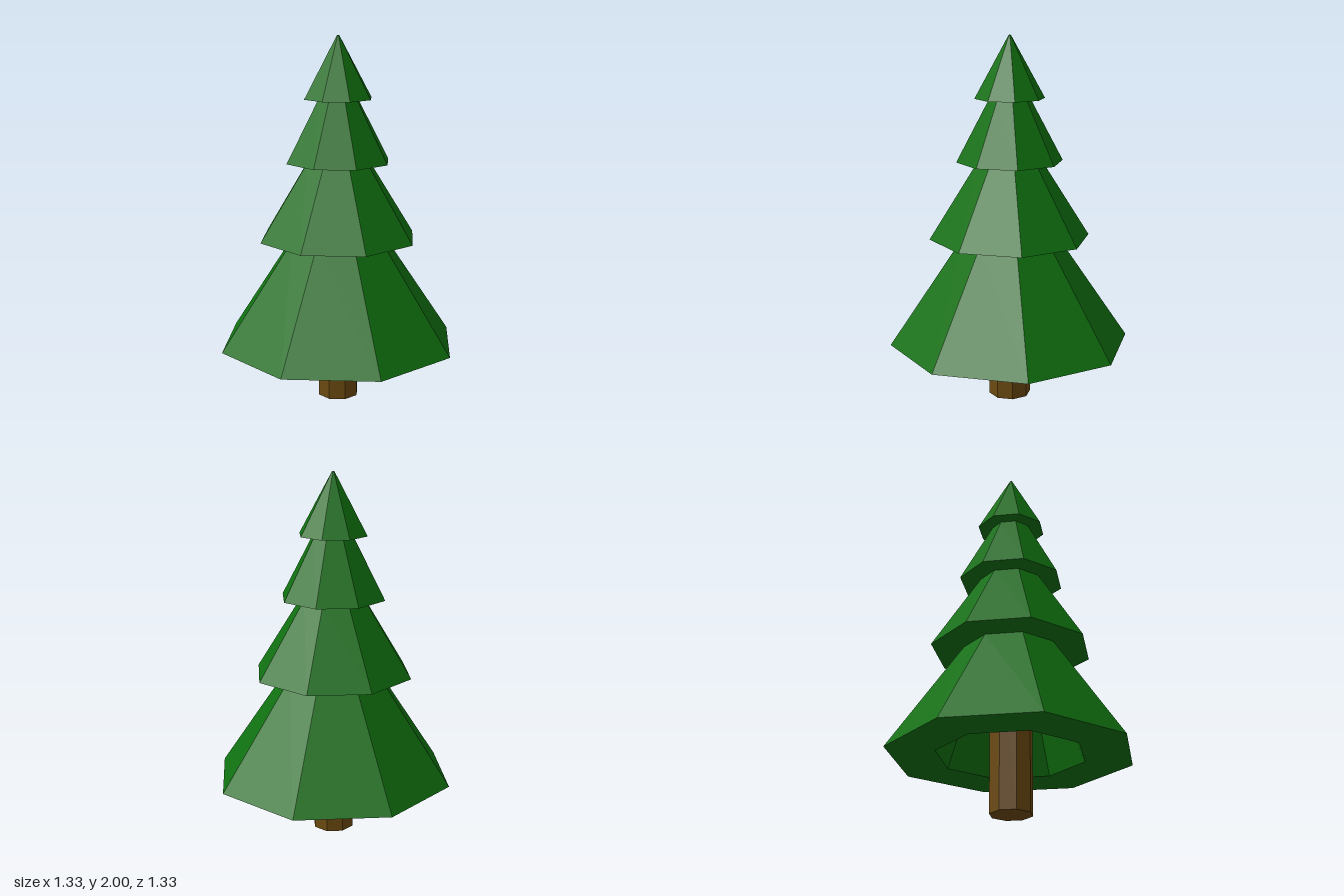
import * as THREE from 'three';

const SIDES = 8;

// Faceted solid of revolution from [radius, height] pairs
function faceted(name, profile, material) {
  const points = profile.map(([r, y]) => new THREE.Vector2(r, y));
  const geometry = new THREE.LatheGeometry(points, SIDES).toNonIndexed();
  geometry.computeVertexNormals();
  const mesh = new THREE.Mesh(geometry, material);
  mesh.name = name;
  return mesh;
}

export function createModel() {
  const needles = new THREE.MeshStandardMaterial({ color: 0x107010, flatShading: true });
  needles.name = 'needle green';
  const bark = new THREE.MeshStandardMaterial({ color: 0x6b4a10, flatShading: true });
  bark.name = 'bark brown';

  const tree = new THREE.Group();
  tree.name = 'pineTree';

  // Trunk, reaching up into the hollow of the lowest tier
  tree.add(faceted('trunk', [[0, 0], [0.115, 0], [0.115, 0.9], [0, 0.9]], bark));

  // Foliage tiers: bottom radius, top radius, bottom height, top height
  const tiers = [
    [0.665, 0.262, 0.313, 0.907],
    [0.44, 0.175, 0.907, 1.328],
    [0.29, 0.11, 1.328, 1.667],
    [0.19, 0.006, 1.667, 2],
  ];
  tiers.forEach(([r0, r1, y0, y1], i) => {
    // The lowest tier is hollow; the others have an underside ring over the tier below
    const underside = i === 0 ? [[0, 0.89], [0.19, 0.89], [0.4, y0]] : [[tiers[i - 1][1], y0]];
    const top = i === tiers.length - 1 ? [[0, y1]] : [];
    tree.add(faceted('foliageTier' + (i + 1), [...underside, [r0, y0], [r1, y1], ...top], needles));
  });

  return tree;
}
